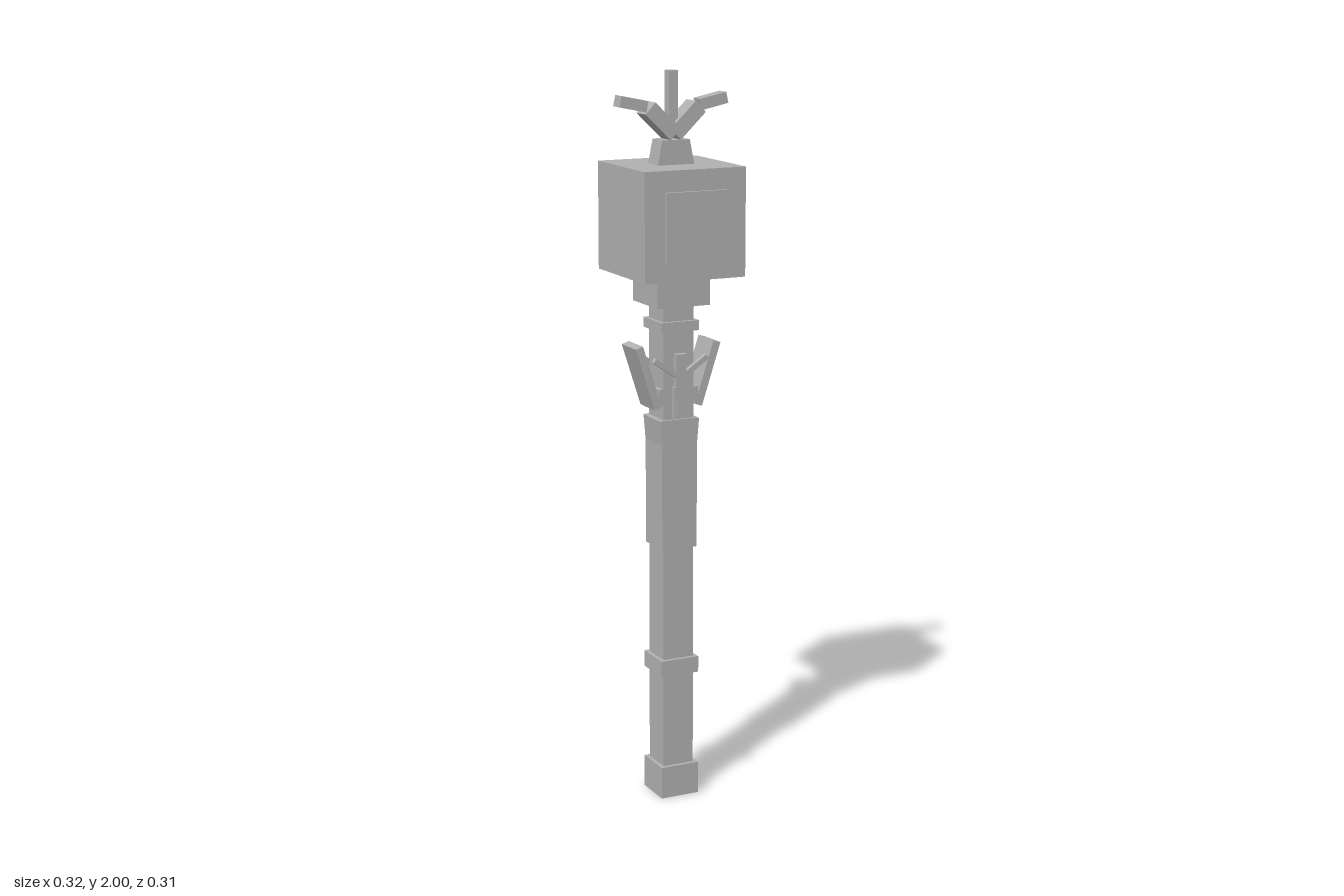
import * as THREE from 'three';

export function createModel() {
  const root = new THREE.Group();
  const grey = new THREE.MeshStandardMaterial({ color: 0xb0b0b0 });
  grey.name = 'stone grey';

  const add = (name, geometry, x, y, z, rotZ = 0) => {
    const mesh = new THREE.Mesh(geometry, grey);
    mesh.name = name;
    mesh.position.set(x, y, z);
    mesh.rotation.z = rotZ;
    root.add(mesh);
    return mesh;
  };
  // Upright box given by width, bottom, top and depth
  const block = (name, w, y0, y1, d = w, x = 0, z = 0) =>
    add(name, new THREE.BoxGeometry(w, y1 - y0, d), x, (y0 + y1) / 2, z);
  // Box running from one point to another in the front plane
  const bar = (name, x0, y0, x1, y1, thick, depth, z = 0) =>
    add(name, new THREE.BoxGeometry(Math.hypot(x1 - x0, y1 - y0), thick, depth),
      (x0 + x1) / 2, (y0 + y1) / 2, z, Math.atan2(y1 - y0, x1 - x0));

  // Handle
  block('pommel', 0.112, 0, 0.09);
  block('shaft', 0.09, 0.09, 1.39);
  block('lowerRing', 0.112, 0.355, 0.4);
  block('sleeve', 0.104, 0.715, 1.075);
  block('upperRing', 0.112, 1.315, 1.342);
  block('wingMount', 0.116, 1.115, 1.16, 0.09);

  // Head
  block('neck', 0.154, 1.385, 1.466);
  block('head', 0.292, 1.466, 1.756);
  for (const s of [1, -1])
    block(s > 0 ? 'frontPanel' : 'backPanel', 0.178, 1.52, 1.7, 0.02, 0, s * 0.146);

  // Tapered crown base, cut as a trapezoid
  const taper = new THREE.Shape([[-0.053, 0], [0.053, 0], [0.04, 0.065], [-0.04, 0.065]]
    .map(([x, y]) => new THREE.Vector2(x, y)));
  add('crownBase', new THREE.ExtrudeGeometry(taper, { depth: 0.06, bevelEnabled: false }),
    0, 1.756, -0.03);
  block('crownSpike', 0.027, 1.84, 2);

  for (const s of [1, -1]) {
    const side = s > 0 ? 'left' : 'right';
    // Forked crown
    bar(side + 'CrownArm', 0, 1.835, s * 0.073, 1.905, 0.042, 0.056);
    bar(side + 'CrownTip', s * 0.078, 1.909, s * 0.155, 1.925, 0.03, 0.04);
    // Side wings and the angled collar plates below them
    bar(side + 'Wing', s * 0.06, 1.108, s * 0.115, 1.278, 0.022, 0.09);
    bar(side + 'Collar', s * 0.04, 0.985, s * 0.048, 1.075, 0.02, 0.106);
    // Ornament on front and back: upright, foot and crossing twigs
    for (const f of [1, -1]) {
      const face = f > 0 ? 'Front' : 'Back';
      bar(side + face + 'Twig', 0, 1.19, s * 0.078, 1.243, 0.014, 0.014, f * 0.056);
      block(side + face + 'Strut', 0.012, 1.08, 1.165, 0.018, s * 0.014, f * 0.053);
    }
  }
  for (const f of [1, -1])
    block(f > 0 ? 'frontUpright' : 'backUpright', 0.03, 1.08, 1.255, 0.022, 0, f * 0.053);

  return root;
}
